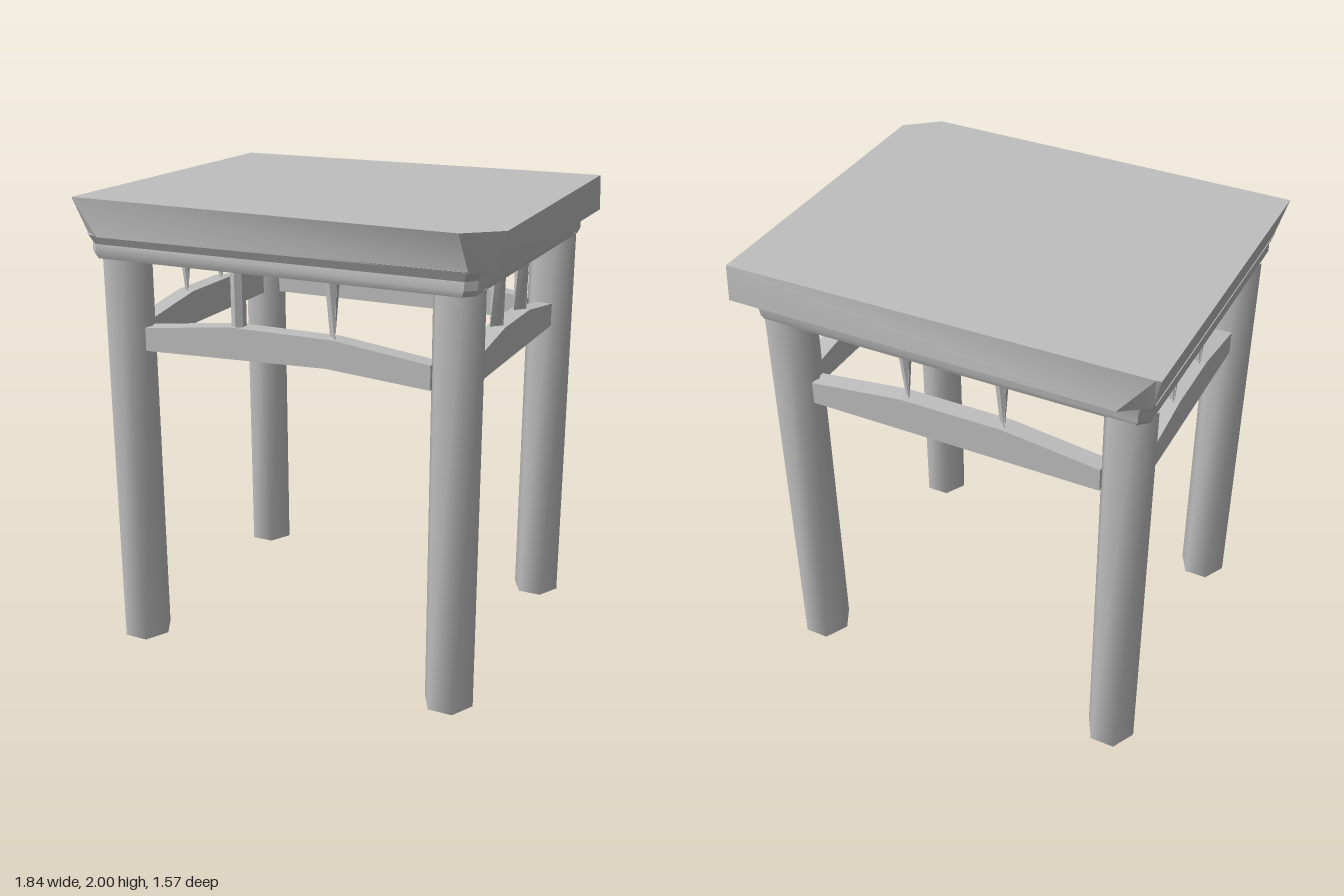
import * as THREE from 'three';
import { toCreasedNormals } from 'three/addons/utils/BufferGeometryUtils.js';

const CX = -0.025, CZ = -0.018;          // centre of the leg frame
const HX = 0.74, HZ = 0.593;             // half spacing of the legs

// Solid through horizontal rings of [x, z] points, listed bottom to top
function loft(rings) {
  const pos = [], n = rings[0].pts.length;
  const put = (r, i) => pos.push(r.pts[i % n][0], r.y, r.pts[i % n][1]);
  for (let k = 0; k < rings.length - 1; k++) {
    const b = rings[k], t = rings[k + 1];
    for (let i = 0; i < n; i++) {
      put(b, i); put(t, i); put(t, i + 1);
      put(b, i); put(t, i + 1); put(b, i + 1);
    }
  }
  const bottom = rings[0], top = rings[rings.length - 1];
  for (let i = 1; i < n - 1; i++) {
    put(bottom, 0); put(bottom, i); put(bottom, i + 1);
    put(top, 0); put(top, i + 1); put(top, i);
  }
  const g = new THREE.BufferGeometry();
  g.setAttribute('position', new THREE.Float32BufferAttribute(pos, 3));
  return toCreasedNormals(g, 0.6);
}

// Rectangle with slightly clipped corners
function clippedRect(x0, x1, z0, z1, c) {
  return [[x0, z0 + c], [x0 + c, z0], [x1 - c, z0], [x1, z0 + c],
    [x1, z1 - c], [x1 - c, z1], [x0 + c, z1], [x0, z1 - c]];
}

// Rail with a raised middle, running along x
function railGeometry(half, flat, arch) {
  const s = new THREE.Shape();
  s.moveTo(-half, 1.35);
  if (arch) s.lineTo(0.2, 1.35 + arch);
  s.lineTo(half, 1.35);
  s.lineTo(half, 1.45);
  s.lineTo(flat, 1.5);
  s.lineTo(-flat, 1.5);
  s.lineTo(-half, 1.45);
  const g = new THREE.ExtrudeGeometry(s, { depth: 0.08, bevelEnabled: false });
  return g.translate(0, 0, -0.04);
}

// Short post; its foot may be pinched to a line at the given angle
function postGeometry(pinch) {
  const g = new THREE.CylinderGeometry(0.031, 0.031, 0.26, 6);
  if (pinch !== null) {
    const dx = Math.cos(pinch), dz = Math.sin(pinch), p = g.attributes.position;
    for (let i = 0; i < p.count; i++) {
      if (p.getY(i) > 0) continue;
      const d = p.getX(i) * dx + p.getZ(i) * dz;
      p.setX(i, d * dx);
      p.setZ(i, d * dz);
    }
  }
  return toCreasedNormals(g, 0.9);
}

export function createModel() {
  const root = new THREE.Group();
  root.name = 'table';
  const grey = new THREE.MeshStandardMaterial({ color: 0xbfbfbf });
  grey.name = 'light grey';
  const add = (name, geometry, x = 0, y = 0, z = 0) => {
    const m = new THREE.Mesh(geometry, grey);
    m.name = name;
    m.position.set(x, y, z);
    root.add(m);
    return m;
  };

  // Flared table top with one clipped corner
  add('tableTop', loft([
    { y: 1.845, pts: [[-0.88, -0.71], [-0.77, -0.785], [0.88, -0.775], [0.89, 0.66],
      [0.80, 0.72], [-0.80, 0.735], [-0.88, 0.68]] },
    { y: 2, pts: [[-0.92, -0.758], [-0.90, -0.76], [0.875, -0.77], [0.922, 0.66],
      [0.78, 0.78], [-0.90, 0.727], [-0.92, 0.725]] },
  ]));

  // Moulding under the top
  add('moulding', loft([
    { y: 1.75, pts: clippedRect(-0.86, 0.81, -0.71, 0.70, 0.04) },
    { y: 1.775, pts: clippedRect(-0.87, 0.82, -0.72, 0.71, 0.04) },
    { y: 1.81, pts: clippedRect(-0.87, 0.82, -0.72, 0.705, 0.04) },
    { y: 1.85, pts: clippedRect(-0.885, 0.835, -0.735, 0.725, 0.04) },
  ]));

  // Legs
  for (const sx of [-1, 1]) for (const sz of [-1, 1]) {
    const g = new THREE.CylinderGeometry(0.106, 0.106, 1.76, 6);
    g.rotateY(Math.PI / 6).scale(1, 1, 1.1);
    add((sz > 0 ? 'front' : 'back') + (sx > 0 ? 'Left' : 'Right') + 'Leg',
      toCreasedNormals(g, 1.2), CX + sx * HX, 0.88, CZ + sz * HZ);
  }

  // Rails between the legs, each carrying two posts
  for (const s of [-1, 1]) {
    const face = s > 0 ? 'front' : 'back', side = s > 0 ? 'left' : 'right';
    add(face + 'Rail', railGeometry(0.645, 0.23, s > 0 ? 0.03 : 0), CX, 0, CZ + s * HZ);
    add(side + 'Rail', railGeometry(0.505, 0.16, 0), CX + s * HX, 0, CZ)
      .rotation.y = Math.PI / 2;
    for (const t of [-1, 1]) {
      const plain = s > 0 && t < 0;
      add(face + 'Post', postGeometry(plain ? null : Math.PI / 4),
        CX + t * 0.212, 1.62, CZ + s * HZ);
      add(side + 'Post', postGeometry(s > 0 ? -Math.PI / 4 : Math.PI / 4),
        CX + s * HX, 1.62, CZ + t * 0.15);
    }
  }
  return root;
}
